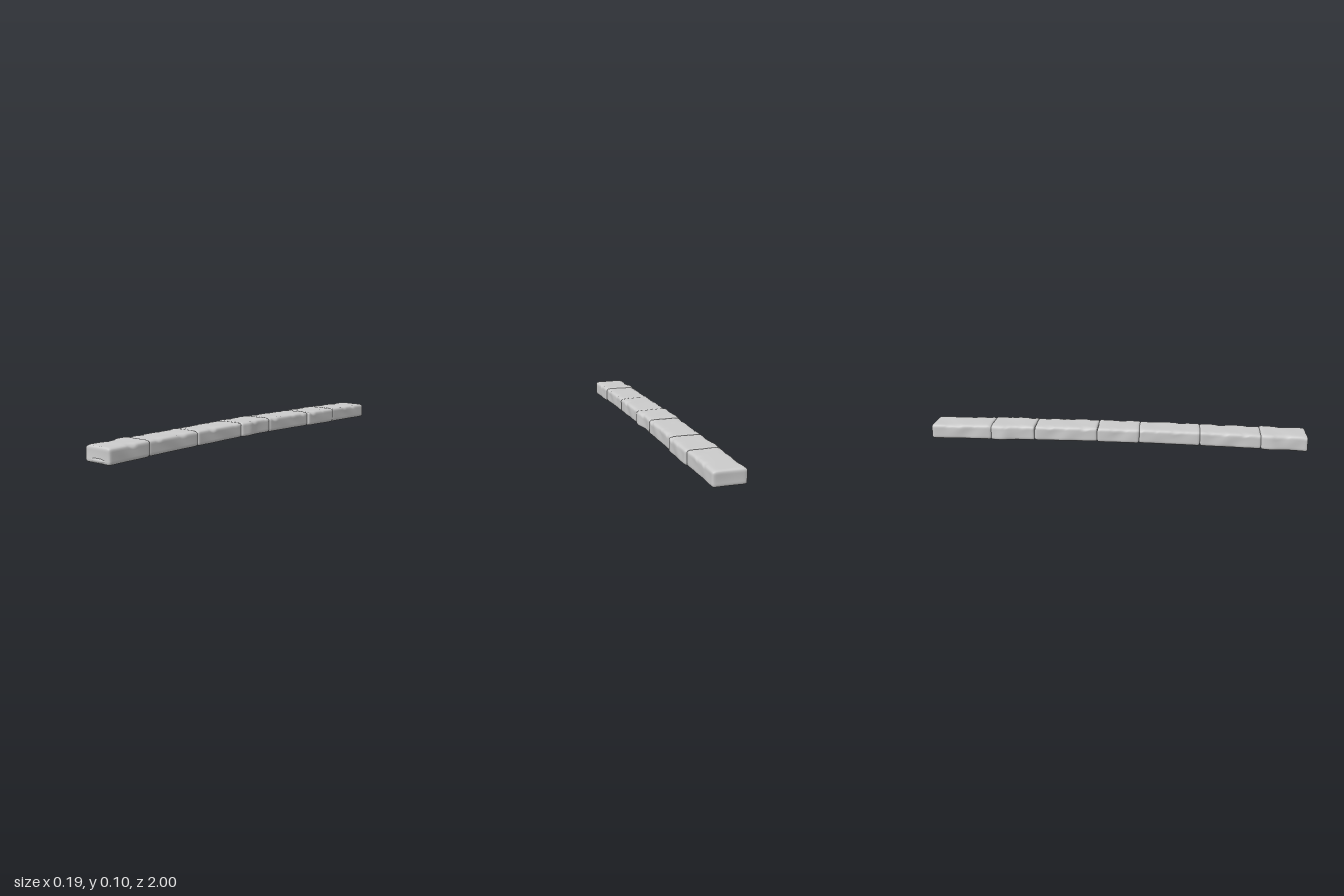
import * as THREE from 'three';
import { mergeVertices } from 'three/addons/utils/BufferGeometryUtils.js';

const material = new THREE.MeshStandardMaterial({ color: 0xcccccc });

// Smooth pseudo-noise, roughly -1..1
const wave = (x, y, z, s) =>
  (Math.sin(x * 37 + z * 19 + s) + Math.sin(y * 61 - z * 33 + s * 2.3) + Math.sin(z * 47 + x * 23 - y * 29 + s * 1.7)) / 3;

// Worn stone: a box with rounded edges, bulging sides and chipped rims.
// z0/z1: rear and front end, yb/yt: [rear, front] heights of bottom and top,
// x0/x1: sides, bulge: {side, at, size} swelling of one side
function stone({ z0, z1, yb, yt, x0, x1, bulge, seed }) {
  const w = x1 - x0, h = 0.076, d = z1 - z0, r = 0.013;
  let geo = new THREE.BoxGeometry(w, h, d, 18, 12, Math.round(d / 0.009));
  geo.deleteAttribute('normal');
  geo.deleteAttribute('uv');
  geo = mergeVertices(geo, 1e-5);
  const pos = geo.attributes.position;
  const p = new THREE.Vector3(), core = new THREE.Vector3();
  const limit = new THREE.Vector3(w / 2 - r, h / 2 - r, d / 2 - r);
  for (let i = 0; i < pos.count; i++) {
    p.fromBufferAttribute(pos, i);
    // round the edges
    core.copy(p).clamp(limit.clone().negate(), limit);
    p.sub(core).setLength(r).add(core);
    const u = p.x / (w / 2), v = p.y / (h / 2), t = p.z / d + 0.5;
    const n = wave(p.x, p.y, p.z, seed);
    // uneven sides, fading out towards the joints
    const mid = Math.sin(Math.PI * THREE.MathUtils.clamp(t, 0, 1));
    p.x += Math.sign(u) * u * u * 0.003 * (n - 0.4) * mid;
    if (bulge && u * bulge.side > 0) {
      const fall = Math.exp(-(((t - bulge.at) / 0.22) ** 2));
      p.x += bulge.side * u * u * (fall * bulge.size * (1 - 0.4 * v) - 0.006 * mid * (1 - fall));
    }
    // chipped upper rims
    if (v > 0) {
      const chip = Math.max(0, wave(p.x, p.y, p.z * 1.6, seed + 4) - 0.1);
      p.y -= v * Math.abs(u) ** 6 * (0.003 + 0.014 * chip);
      p.y += v * 0.0012 * n;
    }
    // slightly dished ends
    const e = Math.abs(p.z) / (d / 2);
    p.z += Math.sign(p.z) * e ** 12 * 0.003 * (n - 0.3);
    // fit between the sloping bottom and top
    const lo = THREE.MathUtils.lerp(yb[0], yb[1], t), hi = THREE.MathUtils.lerp(yt[0], yt[1], t);
    pos.setXYZ(i, p.x + (x0 + x1) / 2, lo + (p.y / h + 0.5) * (hi - lo), p.z + (z0 + z1) / 2);
  }
  geo.computeVertexNormals();
  return new THREE.Mesh(geo, material);
}

export function createModel() {
  const group = new THREE.Group();
  group.name = 'stoneKerb';
  const long = { x0: -0.083, x1: 0.082 }, short = { x0: -0.085, x1: 0.09 };
  // stones from front to rear
  const stones = [
    { ...short, z0: 0.75, z1: 0.995, yb: [0.011, 0.002], yt: [0.091, 0.083], bulge: { side: -1, at: 0.2, size: 0.008 } },
    { ...long, z0: 0.43, z1: 0.755, yb: [0.02, 0.011], yt: [0.097, 0.088] },
    { ...long, z0: 0.11, z1: 0.435, yb: [0.028, 0.02], yt: [0.103, 0.097] },
    { ...short, x0: -0.09, x1: 0.083, z0: -0.11, z1: 0.115, yb: [0.03, 0.028], yt: [0.107, 0.104], bulge: { side: 1, at: 0.75, size: 0.008 } },
    { ...long, z0: -0.445, z1: -0.107, yb: [0.029, 0.03], yt: [0.107, 0.106] },
    { ...short, z0: -0.68, z1: -0.442, yb: [0.028, 0.029], yt: [0.106, 0.107], bulge: { side: -1, at: 0.25, size: 0.008 } },
    { ...long, z0: -1, z1: -0.675, yb: [0.027, 0.028], yt: [0.103, 0.107] },
  ];
  stones.forEach((s, i) => {
    const mesh = stone({ ...s, seed: i * 2.1 + 1 });
    mesh.name = `${s.bulge ? 'short' : 'long'}Stone${i + 1}`;
    group.add(mesh);
  });
  // low lip on the face of the front stone
  const lip = new THREE.Mesh(new THREE.SphereGeometry(1, 20, 12), material);
  lip.scale.set(0.06, 0.012, 0.012);
  lip.position.set(0.005, 0.018, 0.988);
  lip.name = 'frontLip';
  group.add(lip);
  return group;
}
